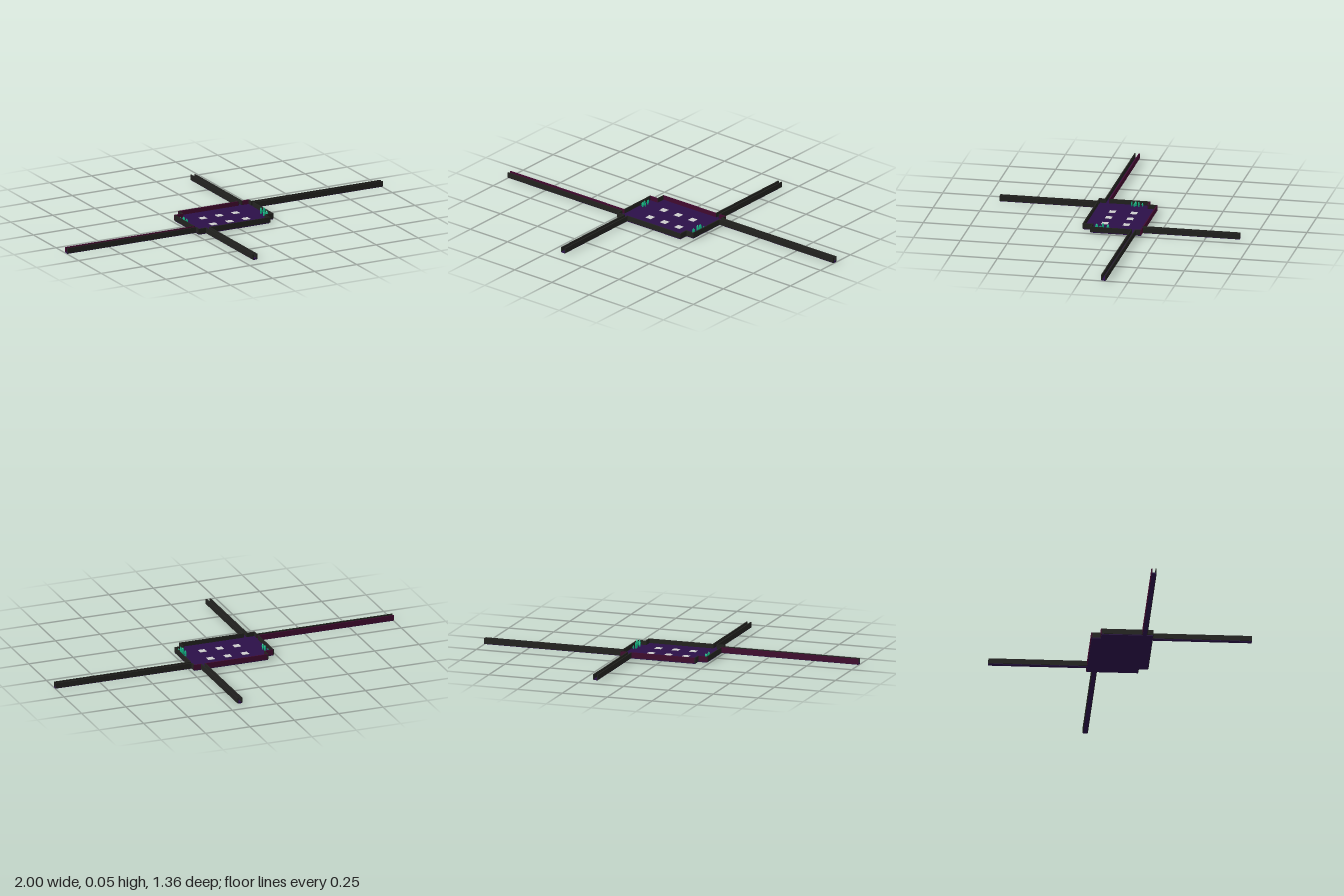
import * as THREE from 'three';

const mat = (color) => new THREE.MeshStandardMaterial({ color, flatShading: true });
const FLOOR_TOP = 0.01, WALL_TOP = 0.033, T = 0.006;

export function createModel() {
  const model = new THREE.Group();
  const floorMat = mat(0x2b1048), darkMat = mat(0x22221f), plumMat = mat(0x42092f);
  const tileMat = mat(0xcccccc), greenMat = mat(0x12b886);

  function box(name, material, x0, x1, y0, y1, z0, z1) {
    const mesh = new THREE.Mesh(new THREE.BoxGeometry(x1 - x0, y1 - y0, z1 - z0), material);
    mesh.position.set((x0 + x1) / 2, (y0 + y1) / 2, (z0 + z1) / 2);
    mesh.name = name;
    model.add(mesh);
  }
  // Straight wall centred on an axis-aligned line
  function wall(name, material, x0, z0, x1, z1) {
    const h = T / 2;
    box(name, material, Math.min(x0, x1) - h, Math.max(x0, x1) + h, 0.005, WALL_TOP,
      Math.min(z0, z1) - h, Math.max(z0, z1) + h);
  }

  // Hall floor: rectangle with two opposite corners notched
  const outline = [[-0.185, -0.16], [0.232, -0.16], [0.232, 0.108], [0.185, 0.108],
    [0.185, 0.158], [-0.235, 0.158], [-0.235, -0.112], [-0.185, -0.112]];
  const shape = new THREE.Shape(outline.map(([x, z]) => new THREE.Vector2(x, -z)));
  const floorGeo = new THREE.ExtrudeGeometry(shape, { depth: FLOOR_TOP, bevelEnabled: false });
  floorGeo.rotateX(-Math.PI / 2);
  const floor = new THREE.Mesh(floorGeo, floorMat);
  floor.name = 'hallFloor';
  model.add(floor);

  // Hall walls, with a doorway left open for each corridor
  [[-0.185, -0.16, 0.167, -0.16, plumMat], [0.193, -0.16, 0.232, -0.16, plumMat],
    [-0.235, -0.112, -0.185, -0.112, plumMat], [-0.185, -0.16, -0.185, -0.112, darkMat],
    [0.232, -0.16, 0.232, -0.133, darkMat], [0.232, -0.107, 0.232, 0.108, darkMat],
    [0.185, 0.108, 0.232, 0.108, darkMat], [0.185, 0.108, 0.185, 0.158, darkMat],
    [-0.167, 0.158, 0.185, 0.158, darkMat], [-0.235, 0.158, -0.193, 0.158, darkMat],
    [-0.235, 0.131, -0.235, 0.158, darkMat], [-0.235, -0.112, -0.235, 0.102, darkMat],
  ].forEach(([x0, z0, x1, z1, m]) => wall('hallWall', m, x0, z0, x1, z1));

  // Four open-ended corridors leaving the hall in a pinwheel
  const W = 0.011, E = T / 2;
  [[1, 0.232, -0.12, darkMat], [-1, -0.235, 0.116, plumMat]].forEach(([s, start, z, back]) => {
    const end = s * (1 - E);
    box('corridorFloor', floorMat, Math.min(start, s), Math.max(start, s), 0.002, FLOOR_TOP, z - W, z + W);
    wall('corridorWall', back, start, z - W, end, z - W);
    wall('corridorWall', darkMat, start, z + W, end, z + W);
  });
  [[1, 0.158, -0.182], [-1, -0.16, 0.18]].forEach(([s, start, x]) => {
    const end = s * 0.68;
    box('corridorFloor', floorMat, x - W, x + W, 0.002, FLOOR_TOP, Math.min(start, end), Math.max(start, end));
    for (const side of [-W, W]) wall('corridorWall', darkMat, x + side, start, x + side, end - s * E);
  });

  // Pale square floor tiles
  for (const x of [-0.097, 0, 0.097])
    for (const z of [-0.055, 0.06])
      box('floorTile', tileMat, x - 0.018, x + 0.018, FLOOR_TOP, 0.012, z - 0.017, z + 0.017);

  // Pointed green crystals: x, z, tip height, radius
  [[0.21, 0.08, 0.045, 0.009], [0.212, 0.047, 0.053, 0.009], [0.208, 0.02, 0.046, 0.009],
    [0.203, 0.063, 0.032, 0.007], [0.217, 0.095, 0.03, 0.007], [0.217, 0.003, 0.03, 0.006],
    [-0.212, -0.02, 0.037, 0.007], [-0.216, -0.04, 0.037, 0.008], [-0.209, -0.058, 0.037, 0.007],
    [-0.219, -0.075, 0.03, 0.006], [-0.205, -0.035, 0.028, 0.006],
  ].forEach(([x, z, top, r], i) => {
    const h = top - 0.008;
    const profile = [[0, 0], [r * 0.6, 0], [r, h * 0.5], [r * 0.7, h * 0.8], [0, h]];
    const crystal = new THREE.Mesh(
      new THREE.LatheGeometry(profile.map(([a, b]) => new THREE.Vector2(a, b)), 5), greenMat);
    crystal.position.set(x, 0.008, z);
    crystal.rotation.y = i * 1.3;
    crystal.scale.x = 0.7;
    crystal.name = 'crystal';
    model.add(crystal);
  });

  return model;
}
